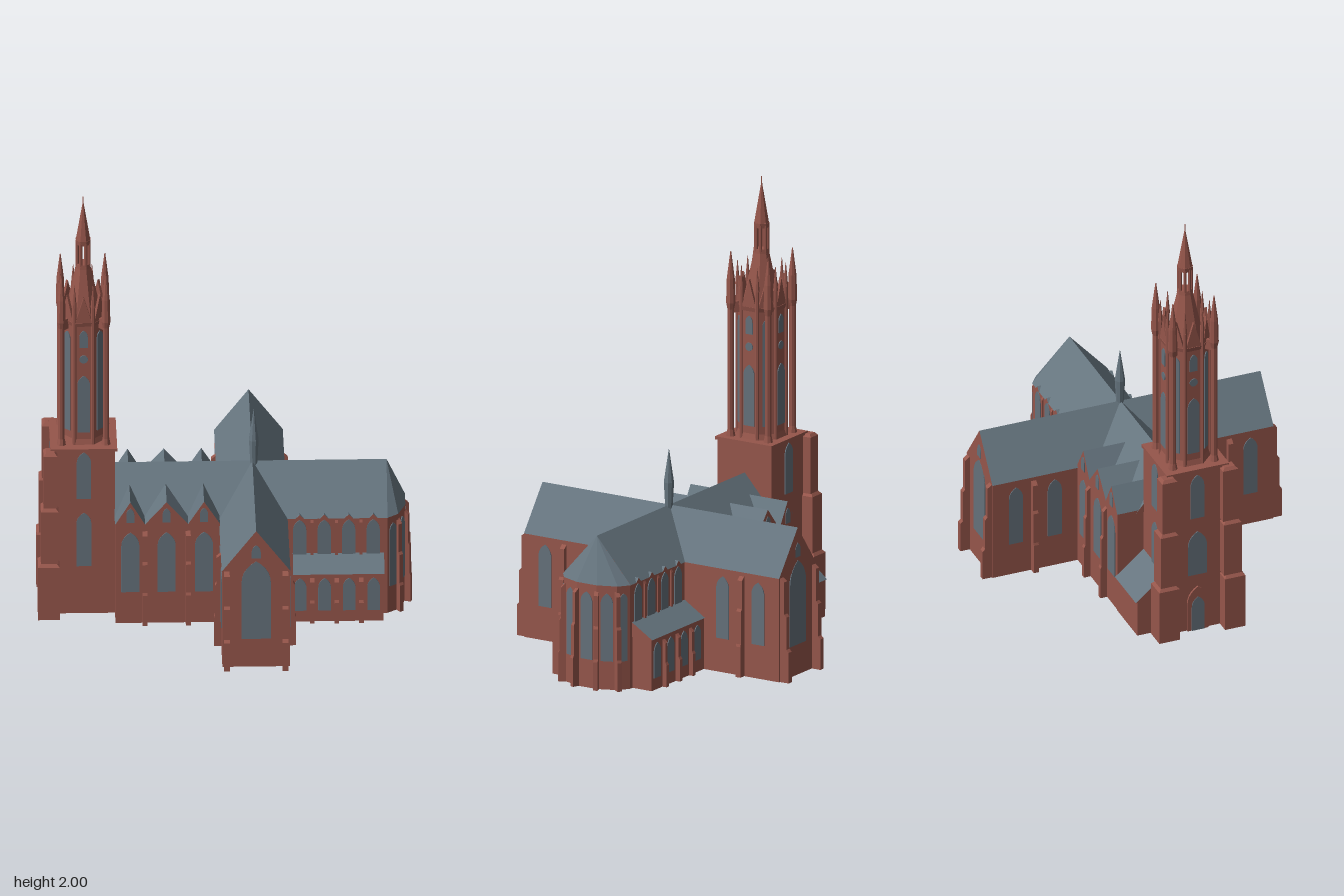
import * as THREE from 'three';

const mat = (name, color) =>
  Object.assign(new THREE.MeshStandardMaterial({ color, side: THREE.DoubleSide }), { name });

export function createModel() {
  const brick = mat('brick', 0x96564b);
  const slate = mat('slate', 0x66757f);
  const glass = mat('glass', 0x65717b);
  const root = new THREE.Group();
  root.name = 'church';

  const add = (name, geo, m, x = 0, y = 0, z = 0, ry = 0) => {
    const mesh = new THREE.Mesh(geo, m);
    mesh.name = name;
    mesh.position.set(x, y, z);
    mesh.rotation.y = ry;
    root.add(mesh);
    return mesh;
  };
  // Box from limits; the top can be drawn in as a sloped cap, and boxes on the ground are open below
  const box = (name, x0, x1, y0, y1, z0, z1, inset = 0) => {
    const g = new THREE.BoxGeometry(x1 - x0, y1 - y0, z1 - z0);
    const p = g.attributes.position;
    for (let i = 0; i < p.count; i++) {
      if (p.getY(i) > 0) {
        p.setX(i, p.getX(i) - Math.sign(p.getX(i)) * inset);
        p.setZ(i, p.getZ(i) - Math.sign(p.getZ(i)) * inset);
      }
    }
    g.computeVertexNormals();
    if (y0 === 0) {
      g.setIndex([...g.index.array].filter((_, i) => i < 18 || i >= 24));
      g.clearGroups();
    }
    return add(name, g, brick, (x0 + x1) / 2, (y0 + y1) / 2, (z0 + z1) / 2);
  };
  const extrude = (pts, depth) => {
    const s = new THREE.Shape(pts.map(([a, b]) => new THREE.Vector2(a, b)));
    return new THREE.ExtrudeGeometry(s, { depth, bevelEnabled: false });
  };
  const faces = (name, positions, m) => {
    const g = new THREE.BufferGeometry();
    g.setAttribute('position', new THREE.Float32BufferAttribute(positions, 3));
    g.computeVertexNormals();
    return add(name, g, m);
  };
  // Roof sections: brick ends, slate slopes
  const roofZ = (name, pts, z0, z1) => add(name, extrude(pts, z1 - z0), [brick, slate], 0, 0, z0);
  const roofX = (name, zyPts, x0, x1) =>
    add(name, extrude(zyPts.map(([z, y]) => [-z, y]), x1 - x0).rotateY(Math.PI / 2), [brick, slate], x0);
  // Eight-sided drum with flats facing the axes
  const drum = (name, rTop, rBottom, y0, y1, x, z, m = brick, sides = 8) => {
    const g = new THREE.CylinderGeometry(rTop, rBottom, y1 - y0, sides).rotateY(Math.PI / sides).toNonIndexed();
    g.computeVertexNormals();
    return add(name, g, m, x, (y0 + y1) / 2, z);
  };
  // Pointed window plate; angle 0 faces +z
  const lancet = (name, w, y0, y1, x, z, angle = 0, m = glass, depth = 0.004) => {
    const s = new THREE.Shape(), h = w / 2, spring = y1 - w * 0.85;
    s.moveTo(-h, y0).lineTo(h, y0).lineTo(h, spring);
    s.quadraticCurveTo(h, y1 - w * 0.3, 0, y1);
    s.quadraticCurveTo(-h, y1 - w * 0.3, -h, spring);
    add(name, new THREE.ExtrudeGeometry(s, { depth, bevelEnabled: false, curveSegments: 5 }), m, x, 0, z, angle);
  };
  // Stepped buttress; levels are [top height, depth] from the ground up
  const buttress = (w, levels, x, z, angle = 0) => {
    const pts = [[-0.005, 0], [levels[0][1], 0]];
    levels.forEach(([h, d], i) => {
      pts.push([d, h]);
      const next = levels[i + 1];
      if (next) pts.push([next[1], h + 0.012]);
    });
    pts.push([-0.005, levels[levels.length - 1][0] + 0.02]);
    const g = extrude(pts, w).translate(0, 0, -w / 2).rotateY(-Math.PI / 2);
    add('buttress', g, brick, x, 0, z, angle);
  };
  const HALF = Math.PI / 2;

  // Nave with cross gables
  box('naveWalls', -0.485, -0.025, 0, 0.49, -0.265, 0.24);
  roofX('mainRoof', [[0.178, 0.475], [0, 0.675], [-0.178, 0.475]], -0.487, 0.715);
  for (const [a, b, c] of [[-0.487, -0.42, -0.355], [-0.355, -0.26, -0.165], [-0.165, -0.095, -0.025]]) {
    roofZ('naveGable', [[a, 0.49], [c, 0.49], [b, 0.6]], -0.267, 0.242);
    for (const [z, ang] of [[0.24, 0], [-0.265, Math.PI]]) {
      lancet('naveWindow', 0.08, 0.155, 0.45, b, z, ang);
      lancet('gableWindow', 0.035, 0.5, 0.57, b, z + Math.sign(z) * 0.001, ang);
    }
  }
  for (const x of [-0.355, -0.165]) {
    for (const [z, ang] of [[0.24, 0], [-0.265, Math.PI]]) {
      buttress(0.022, [[0.15, 0.032], [0.3, 0.026], [0.44, 0.018]], x, z, ang);
    }
  }

  // Transept
  box('transeptWalls', -0.025, 0.272, 0, 0.475, -0.67, 0.665);
  roofZ('transeptRoof', [[-0.028, 0.475], [0.275, 0.475], [0.124, 0.675]], -0.672, 0.667);
  for (const [z, ang] of [[0.665, 0], [-0.67, Math.PI]]) {
    lancet('transeptWindow', 0.13, 0.14, 0.525, 0.124, z, ang);
    lancet('transeptGableWindow', 0.04, 0.54, 0.605, 0.124, z, ang);
    for (const x of [-0.006, 0.252]) buttress(0.026, [[0.14, 0.045], [0.3, 0.033], [0.46, 0.022]], x, z, ang);
  }
  for (const [x, ang] of [[-0.025, -HALF], [0.272, HALF]]) {
    for (const z of [0.355, 0.557, -0.375, -0.56]) lancet('transeptSideWindow', 0.066, 0.155, 0.44, x, z, ang);
    for (const z of [0.457, -0.475]) buttress(0.024, [[0.14, 0.032], [0.3, 0.028], [0.44, 0.02]], x, z, ang);
  }

  // Choir aisles, lean-to roofs and clerestory
  for (const [side, edge] of [[1, 0.245], [-1, 0.275]]) {
    const ang = side > 0 ? 0 : Math.PI;
    box('choirAisle', 0.272, 0.695, 0, 0.235, side > 0 ? 0.174 : -edge, side > 0 ? edge : -0.174);
    roofX('aisleRoof', [[side * 0.174, 0.235], [side * (edge + 0.006), 0.235], [side * 0.174, 0.302]], 0.272, 0.7);
    for (let i = 0; i < 4; i++) {
      const x = 0.328 + i * 0.108;
      lancet('clerestoryWindow', 0.058, 0.29, 0.468, x, side * 0.174, ang);
      lancet('aisleWindow', 0.056, 0.055, 0.215, x, side * edge, ang);
      const d = extrude([[-0.02, 0.475], [0.02, 0.475], [0, 0.495]], 0.026);
      add('smallDormer', d, [brick, slate], x, 0, side > 0 ? 0.153 : -0.179);
      if (i < 3) {
        buttress(0.02, [[0.1, 0.022], [0.2, 0.015]], x + 0.054, side * edge, ang);
        buttress(0.014, [[0.455, 0.007]], x + 0.054, side * 0.174, ang);
      }
    }
  }

  // Choir and apse: one run of walls, hipped end roof, windows and radial buttresses
  const plan = [[0.272, 0.174], [0.715, 0.174], [0.763, 0.138], [0.797, 0.052]];
  plan.push(...plan.map(([x, z]) => [x, -z]).reverse());
  const walls = [], hip = [];
  for (let i = 0; i < 7; i++) {
    const [ax, az] = plan[i], [bx, bz] = plan[i + 1];
    walls.push(ax, 0, az, bx, 0, bz, bx, 0.475, bz, ax, 0, az, bx, 0.475, bz, ax, 0.475, az);
    if (i === 0 || i === 6) continue;
    hip.push(0.715, 0.675, 0, ax, 0.475, az * 1.02, bx, 0.475, bz * 1.02);
    const len = Math.hypot(bx - ax, bz - az);
    lancet('apseWindow', len * 0.6, 0.13, 0.44, (ax + bx) / 2, (az + bz) / 2, Math.atan2(az - bz, bx - ax));
    if (i > 1) {
      buttress(0.02, [[0.13, 0.028], [0.28, 0.023], [0.43, 0.016]], ax, az, Math.atan2(ax - 0.67, az));
    }
  }
  faces('choirWalls', walls, brick);
  faces('apseRoof', hip, slate);

  // Ridge turret over the crossing
  drum('ridgeTurret', 0.023, 0.016, 0.65, 0.78, 0.13, 0, slate);
  drum('ridgeTurretSpire', 0.001, 0.023, 0.78, 0.93, 0.13, 0, slate);

  // Tower base, corner piers and portal
  box('towerBase', -0.765, -0.485, 0, 0.81, -0.14, 0.142);
  box('towerCornice', -0.77, -0.475, 0.806, 0.82, -0.147, 0.15);
  for (const s of [1, -1]) {
    [[0, 0.26, 0], [0.272, 0.53, 0.012], [0.542, 0.8, 0.024]].forEach(([y0, y1, d]) => {
      const z = [s * (0.205 - d), s * 0.108].sort((a, b) => a - b);
      box('towerPier', -0.825 + d, -0.73 - d * 0.4, y0, y1, z[0], z[1]);
      box('pierCap', -0.825 + d, -0.73 - d * 0.4, y1, y1 + 0.013, z[0], z[1], 0.012);
    });
    const ang = s > 0 ? 0 : Math.PI;
    lancet('towerUpperWindow', 0.064, 0.57, 0.8, -0.622, s * 0.141, ang);
    lancet('towerLowerWindow', 0.066, 0.235, 0.5, -0.622, s * 0.141, ang);
  }
  lancet('westUpperWindow', 0.064, 0.57, 0.79, -0.765, 0, -HALF);
  lancet('westWindow', 0.09, 0.28, 0.5, -0.765, 0, -HALF);
  lancet('portalFrame', 0.1, 0, 0.22, -0.765, 0, -HALF, brick, 0.009);
  lancet('portalDoor', 0.06, 0, 0.17, -0.773, 0, -HALF);

  // Side chapel beside the tower
  box('chapelWalls', -0.722, -0.486, 0, 0.17, -0.268, -0.14);
  roofX('chapelRoof', [[-0.14, 0.17], [-0.276, 0.17], [-0.14, 0.285]], -0.726, -0.482);

  // Octagonal belfry
  const tx = -0.622, R = 0.108, ap = 0.0998;
  drum('belfry', R, R, 0.82, 1.42, tx, 0);
  drum('belfryFoot', R, 0.116, 0.82, 0.845, tx, 0);
  drum('belfryCornice', 0.115, 0.11, 1.405, 1.425, tx, 0);
  drum('belfryRoof', 0.033, 0.085, 1.42, 1.66, tx, 0);
  for (let i = 0; i < 8; i++) {
    const a = i * Math.PI / 4, fx = tx + Math.sin(a) * ap, fz = Math.cos(a) * ap;
    if (i % 2 === 0) {
      lancet('belfryWindow', 0.056, 0.88, 1.16, fx, fz, a);
      lancet('belfryTopWindow', 0.036, 1.3, 1.385, fx, fz, a);
      const dial = new THREE.CylinderGeometry(0.019, 0.019, 0.008, 16).rotateX(HALF);
      add('roundWindow', dial, glass, fx, 1.242, fz, a);
    } else {
      lancet('belfryTallWindow', 0.036, 0.88, 1.37, fx, fz, a);
      // Free-standing corner shaft with pinnacle and brace
      const cx = tx + Math.sin(a) * 0.139, cz = Math.cos(a) * 0.139;
      drum('cornerShaft', 0.015, 0.015, 0.82, 1.47, cx, cz);
      drum('cornerShaftFoot', 0.015, 0.021, 0.82, 0.85, cx, cz);
      drum('cornerShaftCap', 0.021, 0.015, 1.4, 1.43, cx, cz);
      drum('cornerPinnacleBase', 0.018, 0.021, 1.43, 1.54, cx, cz);
      drum('cornerPinnacle', 0.002, 0.018, 1.54, 1.665, cx, cz);
      const brace = new THREE.BoxGeometry(0.014, 0.05, 0.05);
      add('shaftBrace', brace, brick, tx + Math.sin(a) * 0.115, 1.41, Math.cos(a) * 0.115, a);
    }
    const gable = extrude([[-0.038, 1.42], [0.038, 1.42], [0, 1.55]], 0.012);
    add('belfryGable', gable, brick, tx + Math.sin(a) * 0.092, 0, Math.cos(a) * 0.092, a);
    // Slim shafts at the octagon corners, and lantern columns
    const c = a + Math.PI / 8, sx = Math.sin(c), sz = Math.cos(c);
    drum('edgeShaft', 0.009, 0.009, 0.82, 1.5, tx + sx * R, sz * R, brick, 6);
    drum('edgePinnacle', 0.001, 0.011, 1.5, 1.61, tx + sx * R, sz * R, brick, 6);
    drum('lanternColumn', 0.007, 0.007, 1.66, 1.78, tx + sx * 0.028, sz * 0.028, brick, 6);
  }

  // Lantern and spire
  drum('lanternFloor', 0.034, 0.036, 1.652, 1.672, tx, 0);
  drum('lanternHead', 0.035, 0.033, 1.768, 1.79, tx, 0);
  drum('spire', 0.003, 0.033, 1.79, 1.965, tx, 0);
  drum('finial', 0.002, 0.003, 1.96, 2.0, tx, 0);
  return root;
}
